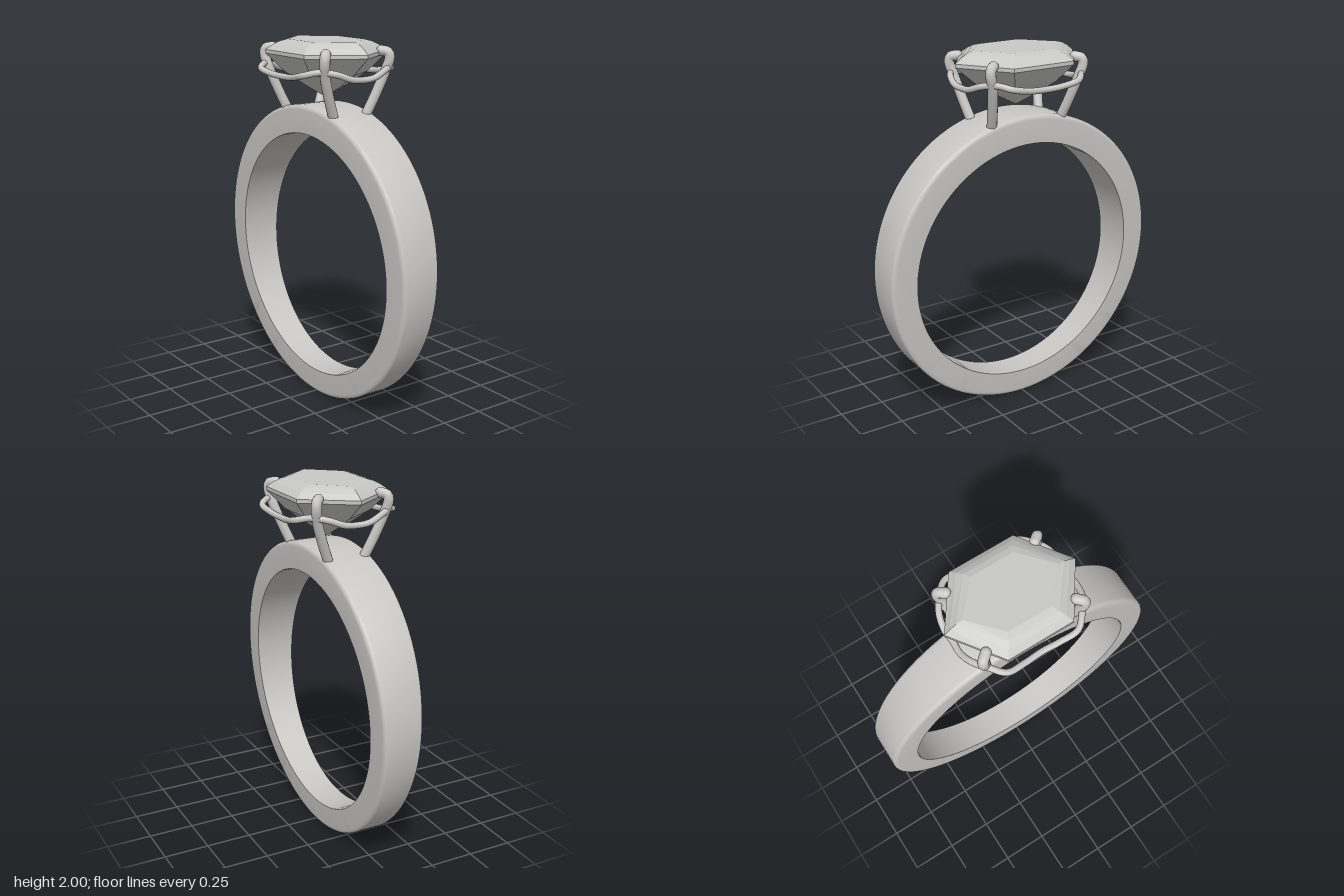
import * as THREE from 'three';
import { toCreasedNormals } from 'three/addons/utils/BufferGeometryUtils.js';

const metal = new THREE.MeshStandardMaterial({ color: 0xc9c7c4 });
metal.name = 'ring metal';
const stone = new THREE.MeshStandardMaterial({ color: 0xc8c8c6 });
stone.name = 'gem stone';

function add(group, name, geometry, material) {
  const mesh = new THREE.Mesh(geometry, material);
  mesh.name = name;
  group.add(mesh);
  return mesh;
}

// Band: softened rectangular profile turned around z, wider towards the top
function bandGeometry() {
  const outer = 0.828, inner = 0.682, bevel = 0.025;
  const profile = [new THREE.Vector2(inner, -1)];
  for (const side of [-1, 1]) {
    for (let i = 0; i <= 4; i++) {
      const a = (side < 0 ? -Math.PI / 2 : 0) + (i / 4) * Math.PI / 2;
      profile.push(new THREE.Vector2(
        outer - bevel + Math.cos(a) * bevel,
        side * 0.83 + Math.sin(a) * 0.17));
    }
  }
  profile.push(new THREE.Vector2(inner, 1), new THREE.Vector2(inner, -1));
  const g = new THREE.LatheGeometry(profile, 128);
  g.rotateX(Math.PI / 2);
  g.translate(0, outer, 0);
  const p = g.attributes.position;
  for (let i = 0; i < p.count; i++) {
    const y = p.getY(i);
    const r = Math.hypot(p.getX(i), y - outer);
    p.setZ(i, p.getZ(i) * (0.079 + 0.039 * y));
    p.setY(i, y - 0.008 * (outer - r) / (outer - inner));
  }
  return toCreasedNormals(g, 0.6);
}

// Gem: stacked hexagons given as [y, tip x, corner x, corner z]
function gemGeometry() {
  const levels = [
    [2.0, 0, 0, 0],
    [2.0, 0.265, 0.12, 0.165],
    [1.99, 0.30, 0.14, 0.2],
    [1.972, 0.332, 0.16, 0.232],
    [1.945, 0.367, 0.182, 0.265],
    [1.925, 0.367, 0.182, 0.265],
    [1.83, 0.25, 0.125, 0.185],
    [1.755, 0.125, 0.062, 0.09],
    [1.69, 0, 0, 0],
  ];
  const rings = levels.map(([y, t, x, z]) => [
    [t, y, 0], [x, y, z], [-x, y, z], [-t, y, 0], [-x, y, -z], [x, y, -z],
  ]);
  const verts = [];
  for (let k = 0; k < rings.length - 1; k++) {
    const top = rings[k], low = rings[k + 1];
    for (let i = 0; i < 6; i++) {
      const j = (i + 1) % 6;
      if (k > 0) verts.push(...low[i], ...top[i], ...top[j]);
      if (k < rings.length - 2) verts.push(...low[i], ...top[j], ...low[j]);
    }
  }
  const g = new THREE.BufferGeometry();
  g.setAttribute('position', new THREE.Float32BufferAttribute(verts, 3));
  g.computeVertexNormals();
  return g;
}

// Smooth curve through points mirrored into one quadrant
function curveThrough(points, sx, sz, closed = false) {
  return new THREE.CatmullRomCurve3(
    points.map(([x, y, z]) => new THREE.Vector3(x * sx, y, z * sz)), closed);
}

export function createModel() {
  const model = new THREE.Group();
  model.name = 'ring';
  add(model, 'band', bandGeometry(), metal);
  add(model, 'gem', gemGeometry(), stone);

  // Four claws, hooked inwards over the edge of the gem
  const claw = [
    [0.215, 1.6, 0.1], [0.24, 1.72, 0.15], [0.265, 1.84, 0.193],
    [0.284, 1.91, 0.207], [0.28, 1.94, 0.203], [0.25, 1.95, 0.178],
  ];
  const claws = new THREE.Group();
  claws.name = 'claws';
  model.add(claws);
  for (const sx of [-1, 1]) {
    for (const sz of [-1, 1]) {
      const path = curveThrough(claw, sx, sz);
      add(claws, 'claw', new THREE.TubeGeometry(path, 32, 0.027, 14), metal);
      const tip = add(claws, 'clawTip', new THREE.SphereGeometry(0.027, 14, 10), metal);
      tip.position.copy(path.getPoint(1));
    }
  }

  // Gallery wire: one closed loop rising at the claws and dipping between them
  const quarter = [
    [0.328, 1.815, 0], [0.332, 1.822, 0.07], [0.312, 1.85, 0.15], [0.262, 1.862, 0.222],
    [0.2, 1.845, 0.282], [0.1, 1.826, 0.281],
  ];
  const front = [0, 1.82, 0.274];
  const flip = (list, sx, sz) => list.map(([x, y, z]) => [x * sx, y, z * sz]);
  const loop = [
    ...quarter, front,
    ...flip(quarter, -1, 1).reverse(),
    ...flip(quarter.slice(1), -1, -1), flip([front], 1, -1)[0],
    ...flip(quarter.slice(1), 1, -1).reverse(),
  ];
  add(model, 'galleryWire',
    new THREE.TubeGeometry(curveThrough(loop, 1, 1, true), 160, 0.017, 12, true), metal);
  return model;
}
